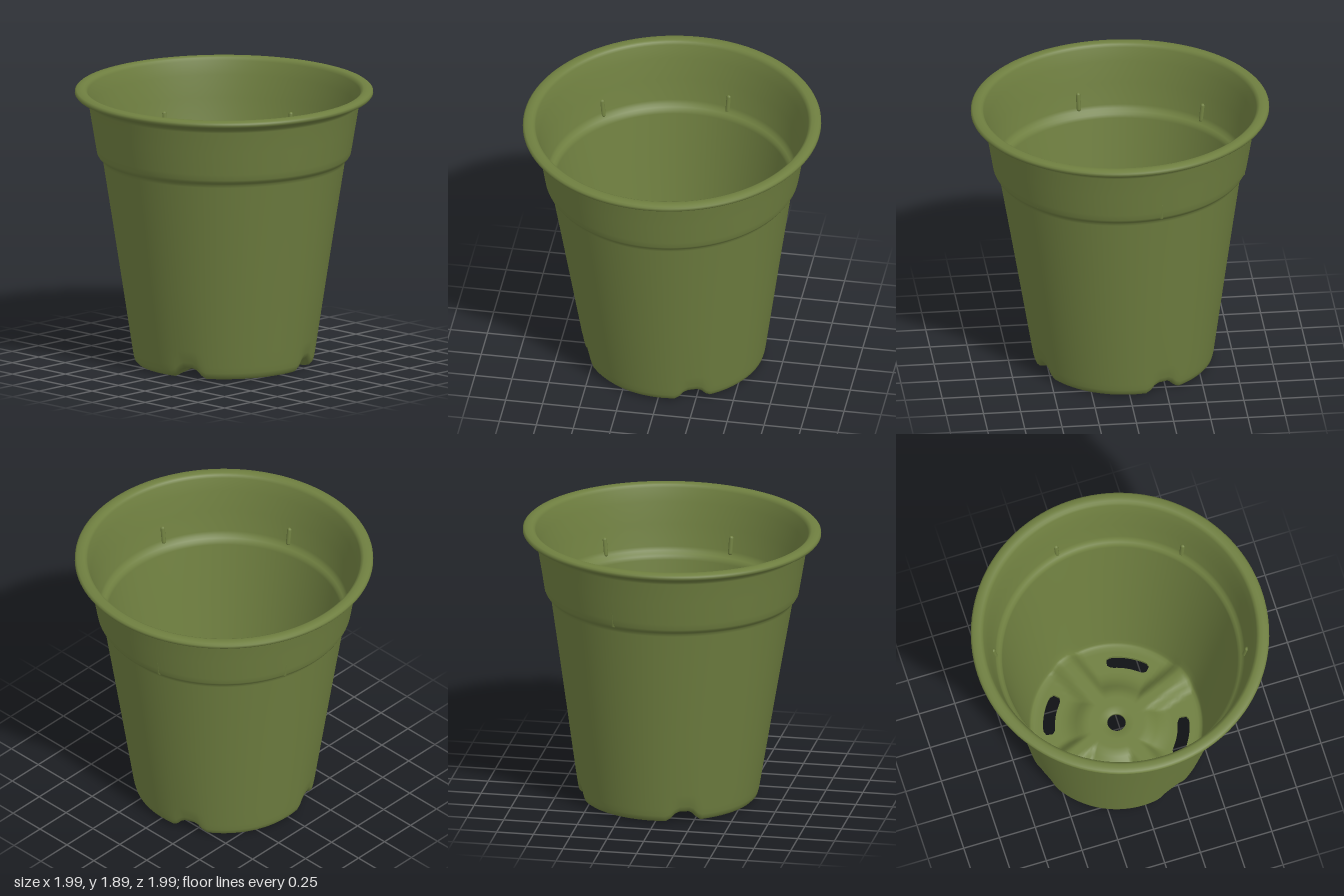
import * as THREE from 'three';

const COLS = 120;                       // columns around the pot, 3 degrees each
const STEP = (Math.PI * 2) / COLS;
const SLOT_COL = 21, SLOT_HALF = 6;     // first drain slot column, half length in columns
const CHANNEL = 7 * STEP;               // angle of first drainage channel
const smooth = THREE.MathUtils.smoothstep;

// Floor radii from the centre hole outwards; 0.41 to 0.49 is the slot band
const RADII = [0.062, 0.12, 0.18, 0.21, 0.24, 0.27, 0.3, 0.34, 0.38, 0.41, 0.45, 0.49, 0.52, 0.55];
const SLOT_IN = RADII.indexOf(0.41);
const UNDER = 0.01, FLOOR = 0.036;

// Closed section: underside, outer wall, rim, inner wall, floor
const PROFILE = [
  ...RADII.map((r) => [r, UNDER]),
  [0.58, 0.018], [0.596, 0.035], [0.603, 0.06], [0.61, 0.1], [0.625, 0.2], [0.69, 0.63], [0.75, 1.02], [0.808, 1.39],
  [0.812, 1.408], [0.822, 1.42], [0.838, 1.432], [0.848, 1.45], [0.855, 1.49], [0.88, 1.64], [0.905, 1.79],
  [0.912, 1.808], [0.93, 1.822], [0.965, 1.836], [0.988, 1.846], [0.997, 1.858], [0.996, 1.872], [0.985, 1.882],
  [0.96, 1.887], [0.935, 1.886], [0.92, 1.878], [0.91, 1.86],
  [0.885, 1.77], [0.86, 1.62], [0.834, 1.47], [0.825, 1.445], [0.808, 1.428], [0.792, 1.415], [0.785, 1.39],
  [0.728, 1.02], [0.668, 0.63], [0.602, 0.2], [0.587, 0.1], [0.58, 0.06], [0.57, 0.042],
  ...RADII.map((r) => [r, FLOOR]).reverse(),
];

// Raised centre and four raised channels that run out to the wall
function lift(r, a) {
  const quarter = Math.PI / 2;
  const off = a - CHANNEL - quarter * Math.round((a - CHANNEL) / quarter);
  const arm = 1 - smooth(Math.abs(r * Math.sin(off)), 0.035, 0.12);
  const centre = 1 - smooth(r, 0.2, 0.34);
  return 0.065 * Math.max(arm, centre);
}

// Slight lean and tilt of the moulded pot
function lean(x, y, z) {
  const s = -0.02 * Math.max(0, 1 - y / 1.4);
  return [x + s, y - 0.0065 * (x + z) * y, z + s];
}

function place(r, y, col) {
  const a = col * STEP;
  const fromSlot = Math.abs((((col - SLOT_COL + 15) % 30) + 30) % 30 - 15);
  let rr = r;
  if (y <= FLOOR && (r === 0.41 || r === 0.49)) {   // rounded slot ends
    if (fromSlot === SLOT_HALF) rr = 0.45 + (r - 0.45) * 0.55;
    if (fromSlot === SLOT_HALF - 1) rr = 0.45 + (r - 0.45) * 0.93;
  }
  const h = y + lift(rr, a) * (1 - smooth(y, 0.04, 0.25));
  return lean(rr * Math.cos(a), h, -rr * Math.sin(a));
}

function geometryFrom(positions, index) {
  const g = new THREE.BufferGeometry();
  g.setAttribute('position', new THREE.Float32BufferAttribute(positions, 3));
  g.setIndex(index);
  g.computeVertexNormals();
  return g;
}

// Pot shell, leaving out the cells of the four slots
function shellGeometry() {
  const positions = [], index = [], n = PROFILE.length;
  for (const [r, y] of PROFILE) {
    for (let c = 0; c < COLS; c++) positions.push(...place(r, y, c));
  }
  for (let i = 0; i < n; i++) {
    const next = (i + 1) % n;
    const inBand = [i, n - 2 - i].some((k) => k === SLOT_IN || k === SLOT_IN + 1);
    for (let c = 0; c < COLS; c++) {
      const k = (c - SLOT_COL + SLOT_HALF + COLS) % 30;
      if (inBand && k < SLOT_HALF * 2) continue;
      const d = (c + 1) % COLS;
      const p = i * COLS + c, q = i * COLS + d, s = next * COLS + c, t = next * COLS + d;
      index.push(p, q, s, q, t, s);
    }
  }
  return geometryFrom(positions, index);
}

// Wall around the inside of one slot
function slotGeometry(centre) {
  const path = [], positions = [], index = [];
  for (let k = -SLOT_HALF; k <= SLOT_HALF; k++) path.push([0.41, centre + k]);
  path.push([0.45, centre + SLOT_HALF]);
  for (let k = SLOT_HALF; k >= -SLOT_HALF; k--) path.push([0.49, centre + k]);
  path.push([0.45, centre - SLOT_HALF]);
  path.forEach(([r, c], i) => {
    positions.push(...place(r, UNDER, c), ...place(r, FLOOR, c));
    const b = i * 2, e = ((i + 1) % path.length) * 2;
    index.push(b, e, b + 1, e, e + 1, b + 1);
  });
  return geometryFrom(positions, index);
}

export function createModel() {
  const group = new THREE.Group();
  group.name = 'plantPot';
  const olive = new THREE.MeshStandardMaterial({ color: 0x6f7f40 });
  olive.name = 'olive green plastic';

  const add = (name, geometry) => {
    const mesh = new THREE.Mesh(geometry, olive);
    mesh.name = name;
    group.add(mesh);
    return mesh;
  };

  add('potShell', shellGeometry());
  for (let i = 0; i < 4; i++) add('drainSlotWall', slotGeometry(SLOT_COL + i * 30));

  // Small stacking ribs above the inner ledge
  for (let i = 0; i < 6; i++) {
    const a = THREE.MathUtils.degToRad(43 + i * 60);
    const rib = add('stackingRib', new THREE.CapsuleGeometry(0.016, 0.1, 4, 10));
    rib.position.set(0.84 * Math.cos(a), 1.5, -0.84 * Math.sin(a));
    rib.rotation.set(0, a, -0.16);
  }
  return group;
}
